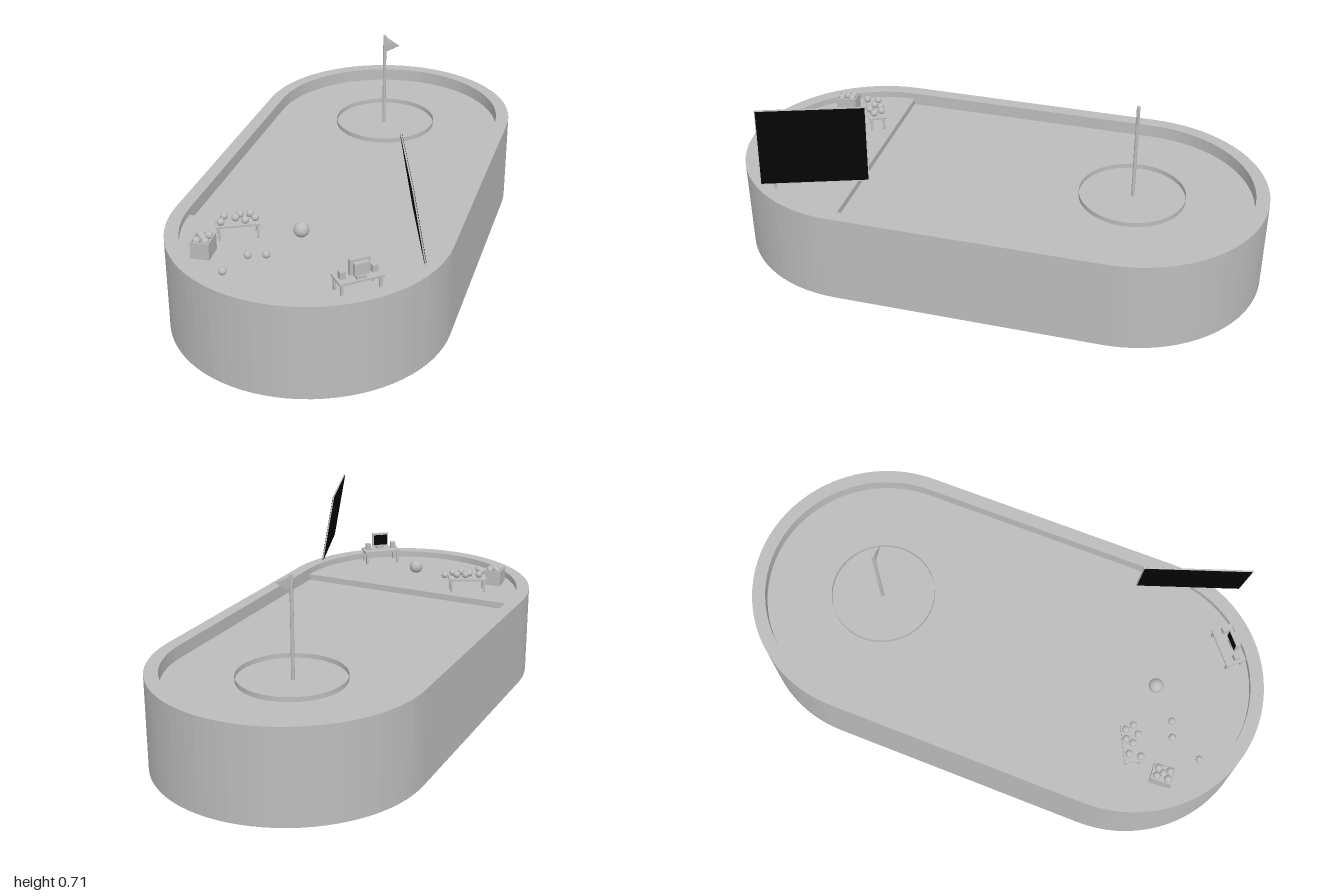
import * as THREE from 'three';

const grey = new THREE.MeshStandardMaterial({ color: 0xbcbcbc });
grey.name = 'plain grey';
const black = new THREE.MeshStandardMaterial({ color: 0x050505 });
black.name = 'screen black';

const RIM = 0.35, FLOOR = 0.3, DECK = 0.325, BALL = 0.0135;

function add(parent, name, geometry, x = 0, y = 0, z = 0, material = grey) {
  const mesh = new THREE.Mesh(geometry, material);
  mesh.name = name;
  mesh.position.set(x, y, z);
  parent.add(mesh);
  return mesh;
}

function group(parent, name, x, y, z, turn) {
  const g = new THREE.Group();
  g.name = name;
  g.position.set(x, y, z);
  g.rotation.y = turn;
  parent.add(g);
  return g;
}

const box = (w, h, d) => new THREE.BoxGeometry(w, h, d);

// Stadium outline: two half circles joined by straight sides
function stadium(r, Type = THREE.Shape) {
  const s = new Type();
  s.absarc(0, 0.5, r, 0, Math.PI, false);
  s.absarc(0, -0.5, r, Math.PI, 2 * Math.PI, false);
  s.closePath();
  return s;
}

// Extrude a plan shape upwards
function slab(shape, height) {
  const g = new THREE.ExtrudeGeometry(shape, { depth: height, bevelEnabled: false, curveSegments: 20 });
  return g.rotateX(-Math.PI / 2);
}

function ball(parent, name, x, y, z, r = BALL) {
  return add(parent, name, new THREE.SphereGeometry(r, 20, 14), x, y, z);
}

// Small table with four legs, standing on the deck
function table(parent, name, x, z, turn, w, d) {
  const g = group(parent, name, x, DECK, z, turn);
  add(g, 'tableTop', box(w, 0.008, d), 0, 0.054, 0);
  for (const sx of [-1, 1]) for (const sz of [-1, 1]) {
    add(g, 'tableLeg', box(0.009, 0.05, 0.009), sx * (w / 2 - 0.01), 0.025, sz * (d / 2 - 0.01));
  }
  return g;
}

export function createModel() {
  const model = new THREE.Group();
  model.name = 'stadiumGreen';

  // Walled base with sunken floor and raised front deck
  const rim = stadium(0.5);
  rim.holes.push(stadium(0.45, THREE.Path));
  add(model, 'rimWall', slab(rim, RIM));
  add(model, 'floor', slab(stadium(0.45), FLOOR));
  const deck = new THREE.Shape();
  deck.absarc(0, -0.5, 0.45, Math.PI, 2 * Math.PI, false);
  deck.closePath();
  add(model, 'deck', slab(deck, DECK - FLOOR), 0, FLOOR, 0);

  // Target ring: a thin upright band
  const band = new THREE.CylinderGeometry(0.198, 0.198, 0.018, 48, 1, true);
  const bandMaterial = grey.clone();
  bandMaterial.name = 'thin band grey';
  bandMaterial.side = THREE.DoubleSide;
  add(model, 'targetRing', band, -0.005, FLOOR + 0.009, -0.5, bandMaterial);

  // Flag pole and flattened pennant
  add(model, 'flagPole', new THREE.CylinderGeometry(0.0065, 0.0065, 0.38, 16), -0.01, 0.49, -0.502);
  const pennant = new THREE.ConeGeometry(0.032, 0.056, 24);
  pennant.rotateZ(-Math.PI / 2).scale(1, 1, 0.08);
  add(model, 'pennant', pennant, 0.023, 0.642, -0.502);

  // Hovering ball
  ball(model, 'largeBall', 0, 0.393, 0.6, 0.027);

  // Tilted display board, dark on both faces
  const board = new THREE.Group();
  board.name = 'displayBoard';
  const along = new THREE.Vector3(0.13, 0, 0.365).normalize();
  const up = new THREE.Vector3(-0.045, 0.275, 0.016);
  up.addScaledVector(along, -up.dot(along)).normalize();
  const out = new THREE.Vector3().crossVectors(along, up);
  board.quaternion.setFromRotationMatrix(new THREE.Matrix4().makeBasis(along, up, out));
  board.position.set(0.3775, 0.567, 0.59);
  add(board, 'boardFrame', box(0.387, 0.28, 0.005), 0, 0, 0);
  for (const s of [-1, 1]) {
    add(board, 'boardFace', box(0.381, 0.272, 0.001), 0, 0, s * 0.003, black);
  }
  model.add(board);

  // Ball table
  table(model, 'ballTable', -0.232, 0.588, 0.46, 0.152, 0.068);
  const tableBalls = [[-0.28, 0.594], [-0.232, 0.566], [-0.2, 0.552], [-0.174, 0.573],
    [-0.2, 0.6], [-0.238, 0.594], [-0.274, 0.637]];
  for (const [x, z] of tableBalls) ball(model, 'tableBall', x, 0.398, z);

  // Crate filled with balls
  const crate = group(model, 'crate', -0.3, DECK, 0.733, 0.06);
  add(crate, 'crateBody', box(0.062, 0.052, 0.076), 0, 0.026, 0);
  for (const s of [-1, 1]) {
    add(crate, 'crateSide', box(0.004, 0.062, 0.076), s * 0.031, 0.031, 0);
    add(crate, 'crateEnd', box(0.066, 0.062, 0.004), 0, 0.031, s * 0.038);
    for (const t of [-1, 1]) ball(crate, 'crateBall', s * 0.015, 0.061, t * 0.021);
  }
  ball(crate, 'crateBall', 0, 0.063, 0);

  // Loose balls on the deck
  for (const [x, z] of [[-0.148, 0.721], [-0.09, 0.7], [-0.19, 0.84]]) {
    ball(model, 'looseBall', x, DECK + BALL, z);
  }

  // Desk with a monitor facing the field and two speakers
  const desk = table(model, 'desk', 0.254, 0.8, 0.7, 0.155, 0.078);
  add(desk, 'monitorStand', box(0.034, 0.012, 0.03), 0, 0.064, 0.018);
  add(desk, 'monitorBezel', box(0.07, 0.056, 0.014), 0, 0.097, 0.012);
  add(desk, 'monitorScreen', box(0.058, 0.044, 0.002), 0, 0.097, 0.0045, black);
  add(desk, 'monitorBack', box(0.05, 0.042, 0.016), 0, 0.095, 0.027);
  for (const s of [-1, 1]) {
    add(desk, 'speaker', box(0.02, 0.026, 0.02), s * 0.056, 0.071, 0.004);
  }

  return model;
}
